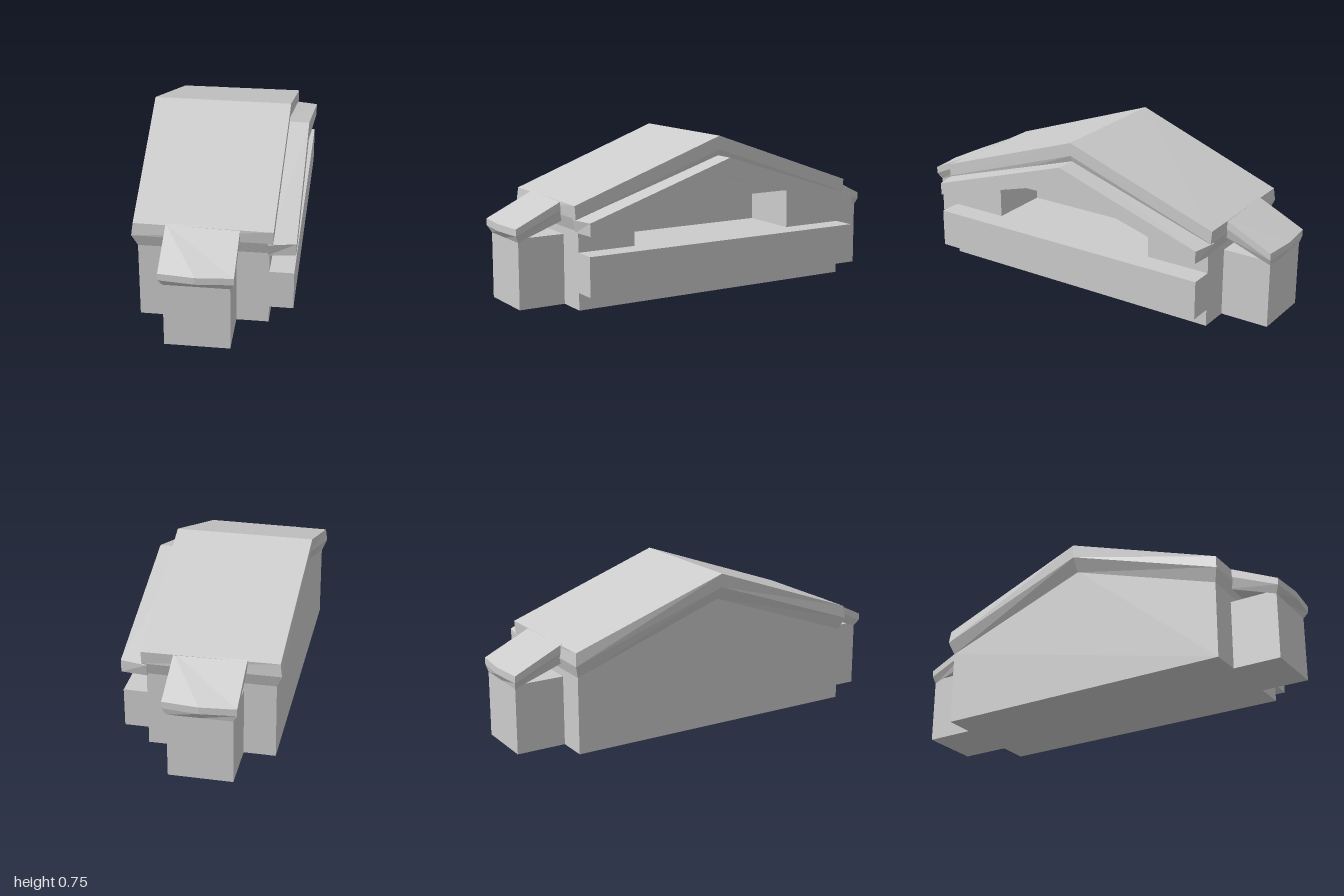
import * as THREE from 'three';

const material = new THREE.MeshStandardMaterial({ color: 0xcccccc, flatShading: true });

// Stacks rings of points (counter-clockwise from above) into a closed solid; caps lists the cap polygons.
function stack(name, rings, caps) {
  const pos = [];
  const face = (p) => {
    for (let i = 1; i < p.length - 1; i++) pos.push(...p[0], ...p[i], ...p[i + 1]);
  };
  const n = rings[0].length;
  for (let k = 0; k < rings.length - 1; k++) {
    const a = rings[k], b = rings[k + 1];
    for (let i = 0; i < n; i++) {
      const j = (i + 1) % n;
      face([a[i], a[j], b[j], b[i]]);
    }
  }
  for (const cap of caps) {
    face(cap.map((i) => rings[rings.length - 1][i]));
    face(cap.map((i) => rings[0][i]).reverse());
  }
  const geometry = new THREE.BufferGeometry();
  geometry.setAttribute('position', new THREE.Float32BufferAttribute(pos, 3));
  geometry.computeVertexNormals();
  const mesh = new THREE.Mesh(geometry, material);
  mesh.name = name;
  return mesh;
}

// Gable ring with its ridge along x; the ridge may reach further out than the eaves.
function gable(x0, x1, z0, z1, eave, ridge, rx0 = x0, rx1 = x1) {
  return [[x0, eave, z0], [x1, eave, z1], [rx1, ridge, 0],
    [x1, eave, -z1], [x0, eave, -z0], [rx0, ridge, 0]];
}
const gableCaps = [[0, 1, 2, 5], [5, 2, 3, 4]];

// Wing ring, sloping down from zIn to zOut with a slightly bowed end.
function wingRing(x0, x1, zIn, zOut, yIn, yOut, bow, side) {
  const ring = [[x0, yIn, zIn], [x0, yOut, zOut], [-0.04, yOut, zOut + bow],
    [x1, yOut, zOut], [x1, yIn, zIn]].map(([x, y, z]) => [x, y, z * side]);
  return side > 0 ? ring : ring.reverse();
}

function box(name, x0, x1, y0, y1, z0, z1) {
  const mesh = new THREE.Mesh(new THREE.BoxGeometry(x1 - x0, y1 - y0, z1 - z0), material);
  mesh.position.set((x0 + x1) / 2, (y0 + y1) / 2, (z0 + z1) / 2);
  mesh.name = name;
  return mesh;
}

// Gabled wall block from x0 to x1, with an optional rectangular opening.
function wallBlock(name, x0, x1, opening) {
  const shape = new THREE.Shape([[-0.74, 0], [0.74, 0], [0.74, 0.37], [0, 0.63], [-0.74, 0.37]]
    .map(([x, y]) => new THREE.Vector2(x, y)));
  if (opening) {
    const [a, b, lo, hi] = opening;
    shape.holes.push(new THREE.Path([[a, lo], [a, hi], [b, hi], [b, lo]]
      .map(([x, y]) => new THREE.Vector2(x, y))));
  }
  const geometry = new THREE.ExtrudeGeometry(shape, { depth: x1 - x0, bevelEnabled: false });
  geometry.rotateY(Math.PI / 2);
  geometry.translate(x0, 0, 0);
  const mesh = new THREE.Mesh(geometry, material);
  mesh.name = name;
  return mesh;
}

export function createModel() {
  const model = new THREE.Group();
  model.name = 'gabledBuilding';

  // Main body, with a recess opening on its left side
  model.add(wallBlock('solidBody', -0.335, -0.04));
  model.add(wallBlock('recessedBody', -0.04, 0.257, [-0.45, 0.42, 0.268, 0.455]));

  // Main roof: bevelled soffit, fascia and two slopes
  model.add(stack('mainRoof', [
    gable(-0.335, 0.257, 0.74, 0.74, 0.365, 0.625),
    gable(-0.36, 0.274, 0.76, 0.76, 0.425, 0.69, -0.374, 0.283),
    gable(-0.352, 0.275, 0.755, 0.765, 0.486, 0.755, -0.376, 0.285),
  ], gableCaps));

  // Narrow wings at both ends, each with a bevelled lean-to roof
  for (const side of [1, -1]) {
    const end = side > 0 ? 0.967 : 0.978;
    model.add(box(side > 0 ? 'frontWing' : 'backWing', -0.187, 0.109, 0, 0.33,
      side > 0 ? 0.72 : -end, side > 0 ? end : -0.72));
    model.add(stack(side > 0 ? 'frontWingRoof' : 'backWingRoof', [
      wingRing(-0.187, 0.109, 0.73, end, 0.4, 0.312, 0, side),
      wingRing(-0.205, 0.127, 0.74, 0.985, 0.455, 0.345, 0.015, side),
      wingRing(-0.205, 0.127, 0.75, 0.985, 0.49, 0.378, 0.015, side),
    ], [[0, 1, 2, 3, 4]]));
  }

  // Ledge and gabled canopy along the left side
  model.add(box('sideLedge', 0.25, 0.368, 0.082, 0.268, -0.74, 0.74));
  model.add(stack('sideCanopy', [
    gable(0.25, 0.375, 0.75, 0.738, 0.36, 0.57),
    gable(0.25, 0.375, 0.765, 0.74, 0.42, 0.66),
  ], gableCaps));

  return model;
}
